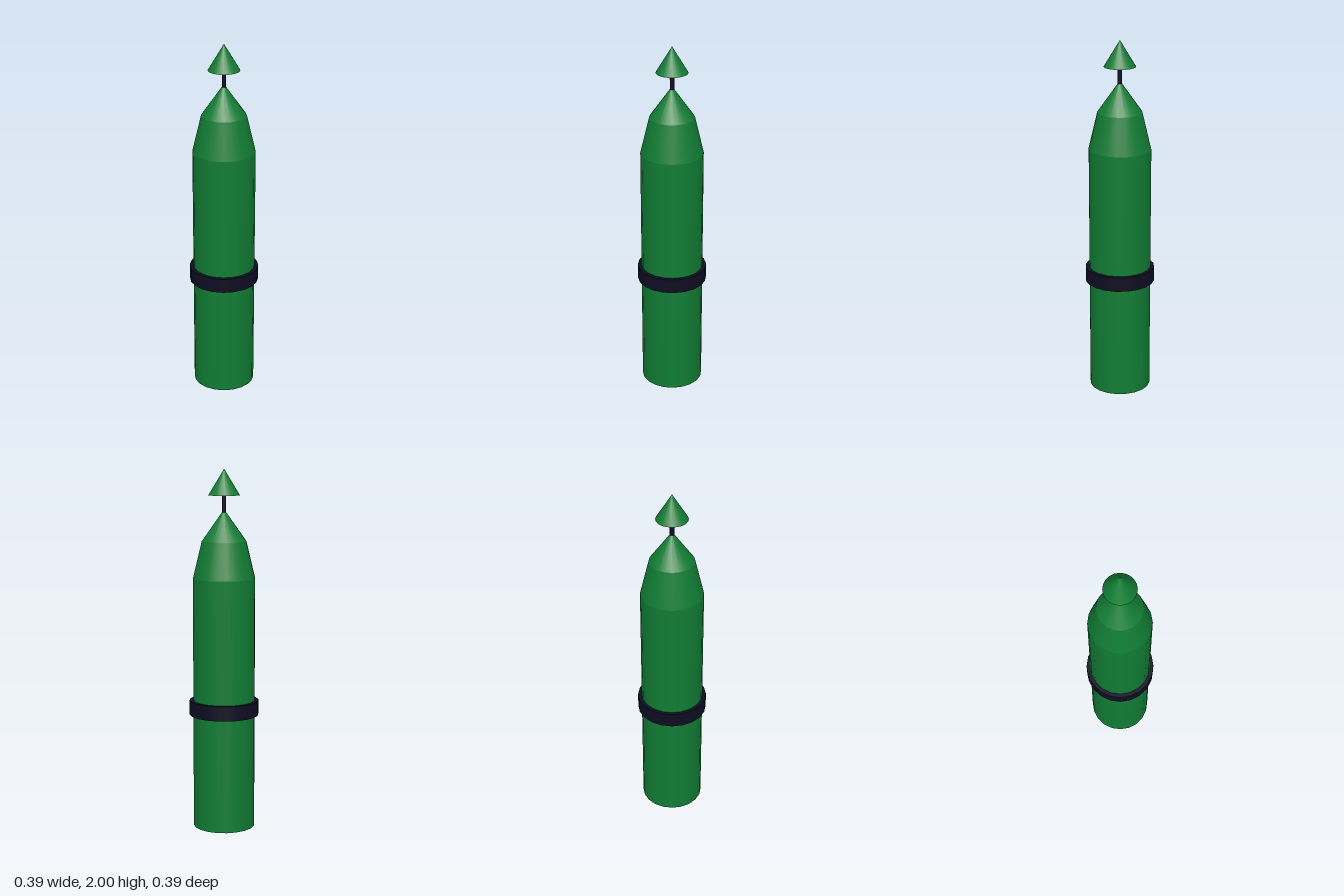
import * as THREE from 'three';

const SIDES = 20;

export function createModel() {
  const model = new THREE.Group();
  const green = new THREE.MeshStandardMaterial({ color: 0x117c34 });
  green.name = 'green paint';
  const navy = new THREE.MeshStandardMaterial({ color: 0x0d0d22 });
  navy.name = 'dark navy';

  // Upright round section between two heights
  function section(name, material, rBottom, rTop, y0, y1, sides = SIDES) {
    const geometry = new THREE.CylinderGeometry(rTop, rBottom, y1 - y0, sides);
    const mesh = new THREE.Mesh(geometry, material);
    mesh.name = name;
    mesh.position.y = (y0 + y1) / 2;
    model.add(mesh);
  }

  // Pillar body with its two-step tapered roof
  section('body', green, 0.172, 0.172, 0, 1.404);
  section('lowerTaper', green, 0.172, 0.123, 1.404, 1.608);
  section('upperTaper', green, 0.123, 0, 1.608, 1.782);

  // Band around the body
  section('band', navy, 0.193, 0.193, 0.64, 0.722);

  // Thin mast carrying the cone topmark
  section('mast', navy, 0.012, 0.012, 1.7, 1.87, 12);
  section('topmarkCone', green, 0.087, 0, 1.857, 2);

  return model;
}
